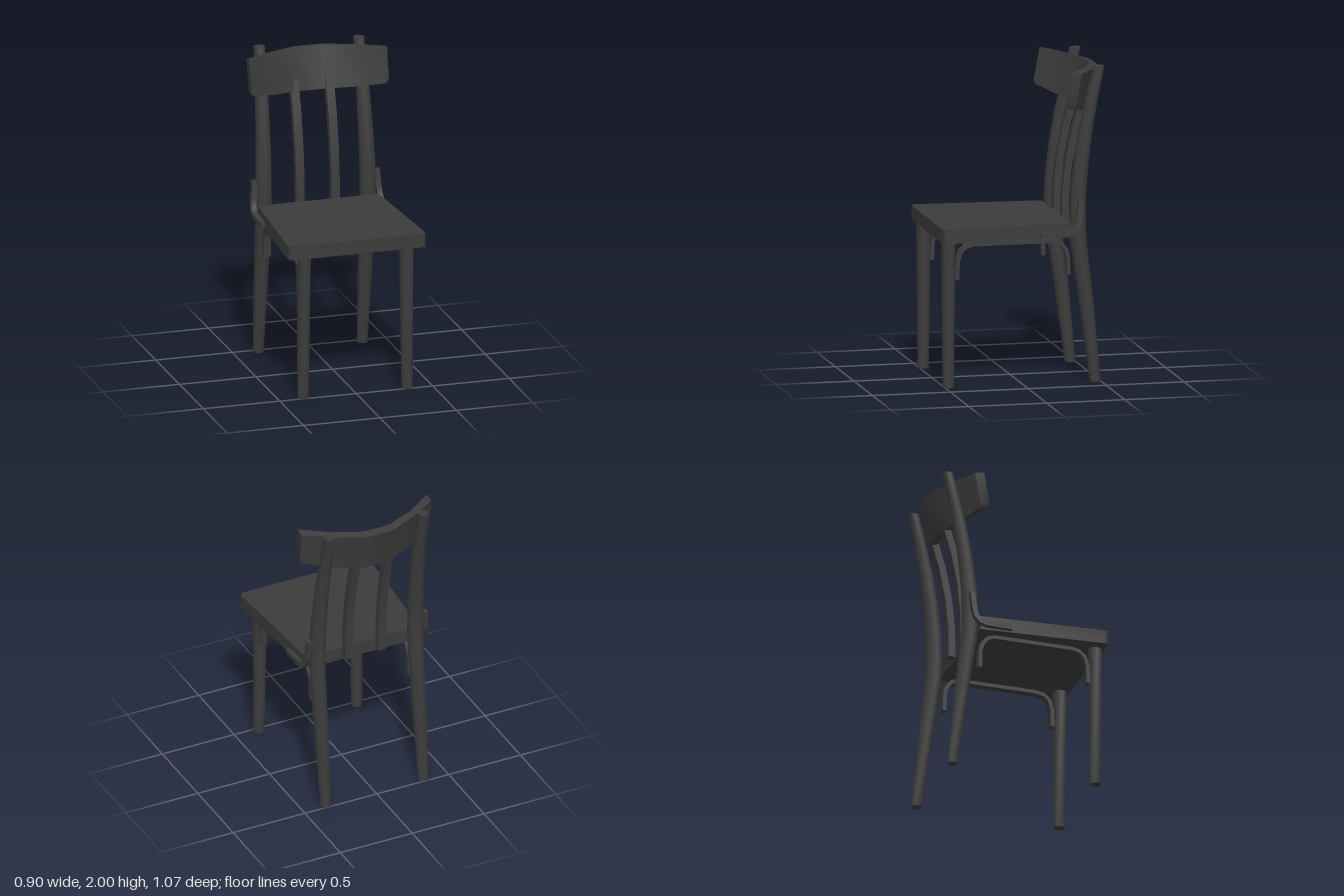
import * as THREE from 'three';
import { toCreasedNormals } from 'three/addons/utils/BufferGeometryUtils.js';

const V = (x, y, z) => new THREE.Vector3(x, y, z);

// Skin a row of equal-sized rings (counter-clockwise about the direction of travel) and cap both ends.
function loft(rings, crease = 0.7) {
  const n = rings[0].length, last = rings.length - 1, index = [];
  for (let i = 0; i < last; i++) {
    for (let j = 0; j < n; j++) {
      const k = (j + 1) % n, a = i * n + j, b = i * n + k;
      index.push(a, b, b + n, a, b + n, a + n);
    }
  }
  for (let j = 1; j < n - 1; j++) {
    index.push(0, j + 1, j, last * n, last * n + j, last * n + j + 1);
  }
  const g = new THREE.BufferGeometry().setFromPoints(rings.flat());
  g.setIndex(index);
  return toCreasedNormals(g, crease);
}

// Round post from rows of [x, y, z, radius].
function post(rows, s, sides = 8) {
  return loft(rows.map(([x, y, z, r]) => Array.from({ length: sides }, (_, j) => {
    const a = (j / sides) * Math.PI * 2;
    return V(s * x + r * Math.sin(a), y, z + r * Math.cos(a));
  })), 0.9);
}

// Flat bar of width w (along x) and thickness t following points [x, y, z].
function bar(points, s, w, t) {
  return loft(points.map(([x, y, z], i) => {
    const p = points[Math.max(i - 1, 0)], q = points[Math.min(i + 1, points.length - 1)];
    const dir = V(0, q[1] - p[1], q[2] - p[2]).normalize();
    const ny = dir.z * t / 2, nz = -dir.y * t / 2;
    return [[1, 1], [-1, 1], [-1, -1], [1, -1]].map(([a, b]) =>
      V(s * x + a * w / 2, y + b * ny, z + b * nz));
  }), 0.6);
}

export function createModel() {
  const group = new THREE.Group();
  const material = new THREE.MeshStandardMaterial({ color: 0x3c3c3c });
  const add = (name, geometry) => {
    const mesh = new THREE.Mesh(geometry, material);
    mesh.name = name;
    group.add(mesh);
  };

  // Seat: tapered slab with rounded front corners
  const seat = new THREE.Shape();
  seat.moveTo(-0.395, 0.3);
  seat.lineTo(-0.45, -0.5);
  seat.quadraticCurveTo(-0.45, -0.532, -0.415, -0.532);
  seat.lineTo(0.415, -0.532);
  seat.quadraticCurveTo(0.45, -0.532, 0.45, -0.5);
  seat.lineTo(0.395, 0.3);
  seat.closePath();
  const slab = new THREE.ExtrudeGeometry(seat, { depth: 0.09, bevelEnabled: false, curveSegments: 4 });
  slab.rotateX(-Math.PI / 2).translate(0, 0.93, 0);
  add('seat', toCreasedNormals(slab, 0.6));

  // Backrest: curved, leaning board; columns of [x, front z at top, back z at top, top y, bottom y]
  const half = [
    [0.09, -0.487, -0.54, 1.975, 1.705],
    [0.28, -0.41, -0.455, 1.98, 1.72],
    [0.435, -0.307, -0.365, 1.985, 1.755],
    [0.45, -0.297, -0.357, 1.985, 1.785],
  ];
  const columns = [...half.map(([x, ...rest]) => [-x, ...rest]).reverse(), ...half];
  add('backrest', loft(columns.map(([x, f, b, top, low]) => {
    const lean = (top - low) * (0.18 + 0.08 * (1 - Math.abs(x) / 0.45));
    return [V(x, top, f), V(x, low, f + lean), V(x, low - 0.01, b + lean), V(x, top - 0.012, b)];
  }), 0.6));

  for (const s of [-1, 1]) {
    const side = s > 0 ? 'left' : 'right';

    // Legs: straight tapered front, bent rear running up into the back
    add(side + 'FrontLeg', post([[0.34, 0, 0.475, 0.037], [0.335, 0.94, 0.475, 0.047]], s));
    add(side + 'RearLeg', post([
      [0.34, 0, -0.468, 0.036], [0.34, 0.5, -0.41, 0.047], [0.342, 0.9, -0.357, 0.054],
      [0.342, 1.02, -0.352, 0.055], [0.34, 1.2, -0.357, 0.053], [0.336, 1.4, -0.378, 0.05],
      [0.332, 1.6, -0.408, 0.046], [0.328, 1.8, -0.449, 0.041], [0.325, 2, -0.495, 0.037],
    ], s));

    // Back spindle
    add(side + 'Spindle', bar([
      [0.115, 0.95, -0.322], [0.115, 1.15, -0.324], [0.115, 1.35, -0.345],
      [0.115, 1.55, -0.385], [0.115, 1.78, -0.452],
    ], s, 0.054, 0.045));

    // Bent brace under the seat, from front leg to rear leg
    add(side + 'Brace', bar([
      [0.34, 0.685, 0.423], [0.34, 0.8, 0.418], [0.34, 0.86, 0.4], [0.34, 0.893, 0.365],
      [0.34, 0.904, 0.31], [0.34, 0.904, -0.2], [0.34, 0.888, -0.245], [0.34, 0.85, -0.275],
      [0.34, 0.8, -0.289], [0.34, 0.685, -0.292],
    ], s, 0.05, 0.024));

    // Bent bracket joining the seat edge to the rear leg
    add(side + 'Bracket', bar([
      [0.418, 0.955, -0.1], [0.418, 0.959, -0.27], [0.416, 0.972, -0.31],
      [0.413, 1.005, -0.338], [0.408, 1.06, -0.35], [0.4, 1.17, -0.36],
    ], s, 0.034, 0.032));
  }
  return group;
}
